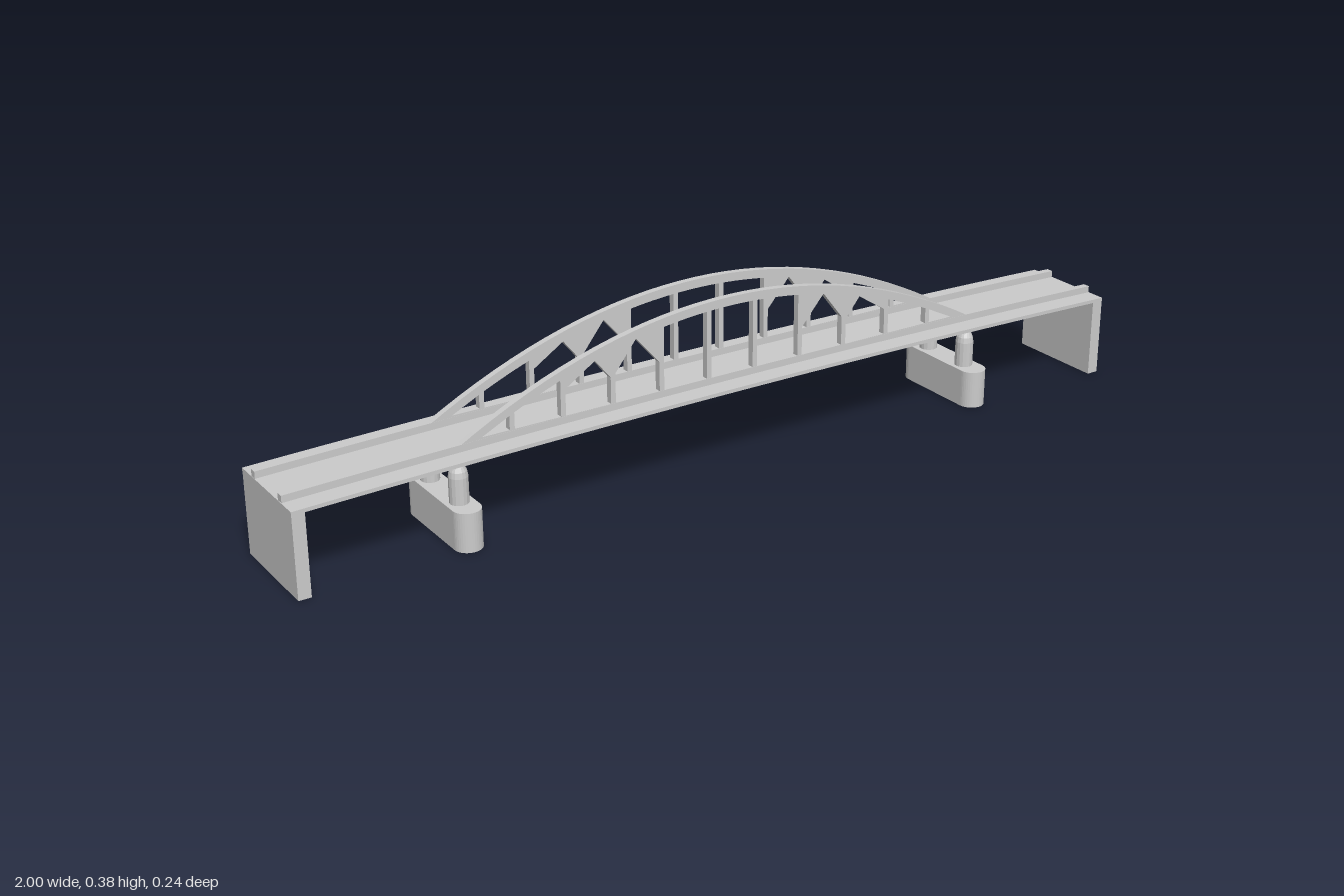
import * as THREE from 'three';

const grey = new THREE.MeshStandardMaterial({ color: 0xcccccc, flatShading: true });
const CAMBER = 0.014;
const archTop = x => 0.2 + 0.18 * (1 - (x / 0.64) ** 2);
const archInner = x => archTop(x) - 0.019;

function part(parent, name, geometry, x = 0, y = 0, z = 0) {
  const mesh = new THREE.Mesh(geometry, grey);
  mesh.name = name;
  mesh.position.set(x, y, z);
  parent.add(mesh);
  return mesh;
}

const polygon = pts => pts.map(p => new THREE.Vector2(...p));

// Runs a (z, y) section along the whole bridge and lifts it towards midspan
function camberedBeam(section, length) {
  const g = new THREE.ExtrudeGeometry(new THREE.Shape(polygon(section)),
    { depth: length, steps: 24, bevelEnabled: false });
  g.translate(0, 0, -length / 2).rotateY(Math.PI / 2);
  const p = g.attributes.position;
  for (let i = 0; i < p.count; i++) p.setY(i, p.getY(i) + CAMBER * (1 - p.getX(i) ** 2));
  g.computeVertexNormals();
  return g;
}

// Points along a curve y = f(x)
function along(f, x0, x1, n) {
  return Array.from({ length: n + 1 }, (_, i) => {
    const x = x0 + (x1 - x0) * i / n;
    return [x, f(x)];
  });
}

// One arch truss: solid bow outline with the panel openings cut out
function archGeometry() {
  const shape = new THREE.Shape(polygon([[-0.64, 0.186], [0.64, 0.186], ...along(archTop, 0.64, -0.64, 32)]));
  const floor = 0.211, half = 0.0055;
  const cut = pts => shape.holes.push(new THREE.Path(polygon(pts)));
  const open = (a, b, s = 1) => cut([[a * s, floor], [b * s, floor], ...along(archInner, b * s, a * s, 4)]);
  const gable = (a, b, shoulder, peakX, peakY, s) =>
    cut([[a * s, floor], [b * s, floor], [b * s, shoulder], [peakX * s, peakY], [a * s, shoulder]]);
  const posts = [0.057, 0.172, 0.287, 0.402, 0.517];

  open(-posts[0] + half, posts[0] - half);
  for (const s of [-1, 1]) {
    open(posts[0] + half, posts[1] - half, s);
    gable(posts[1] + half, posts[2] - half, 0.275, 0.232, 0.338, s);
    gable(posts[2] + half, posts[3] - half, 0.268, 0.328, 0.312, s);
    open(posts[3] + half, posts[4] - half, s);
    cut([[(posts[4] + half) * s, floor], [0.584 * s, floor],
      [(posts[4] + half) * s, archInner(posts[4] + half)]]);
  }
  const g = new THREE.ExtrudeGeometry(shape, { depth: 0.015, bevelEnabled: false });
  return g.translate(0, 0, -0.0075);
}

// Round-ended pier footing, upright
function footingGeometry(r, halfLength, height) {
  const s = new THREE.Shape();
  s.absarc(0, halfLength - r, r, 0, Math.PI, false);
  s.absarc(0, -halfLength + r, r, Math.PI, Math.PI * 2, false);
  const g = new THREE.ExtrudeGeometry(s, { depth: height, bevelEnabled: false, curveSegments: 10 });
  return g.rotateX(-Math.PI / 2);
}

export function createModel() {
  const bridge = new THREE.Group();
  bridge.name = 'archBridge';

  // Deck with a thin edge and a sloping underside
  part(bridge, 'deck', camberedBeam([
    [-0.115, 0.183], [-0.115, 0.175], [-0.08, 0.163],
    [0.08, 0.163], [0.115, 0.175], [0.115, 0.183]], 2));

  // Curbs and arches on both sides of the road
  const arch = archGeometry();
  const curb = camberedBeam([[-0.008, 0.178], [0.008, 0.178], [0.008, 0.198], [-0.008, 0.198]], 1.998);
  for (const side of [-1, 1]) {
    part(bridge, side > 0 ? 'frontCurb' : 'backCurb', curb, 0, 0, 0.0625 * side);
    part(bridge, side > 0 ? 'frontArch' : 'backArch', arch, 0, 0, 0.0625 * side);
  }

  // End walls and piers
  const wall = new THREE.BoxGeometry(0.027, 0.182, 0.2296);
  const footing = footingGeometry(0.03, 0.122, 0.084);
  const column = new THREE.LatheGeometry(polygon([
    [0.02, 0.08], [0.02, 0.14], [0.018, 0.152], [0.013, 0.163], [0.01, 0.172]]), 16);
  for (const side of [-1, 1]) {
    const end = side > 0 ? 'left' : 'right';
    part(bridge, end + 'EndWall', wall, side * 0.9862, 0.091, 0);
    const pier = new THREE.Group();
    pier.name = end + 'Pier';
    pier.position.x = side * 0.635;
    part(pier, 'footing', footing);
    for (const z of [-0.0625, 0.0625]) part(pier, 'column', column, 0, 0, z);
    bridge.add(pier);
  }
  return bridge;
}
